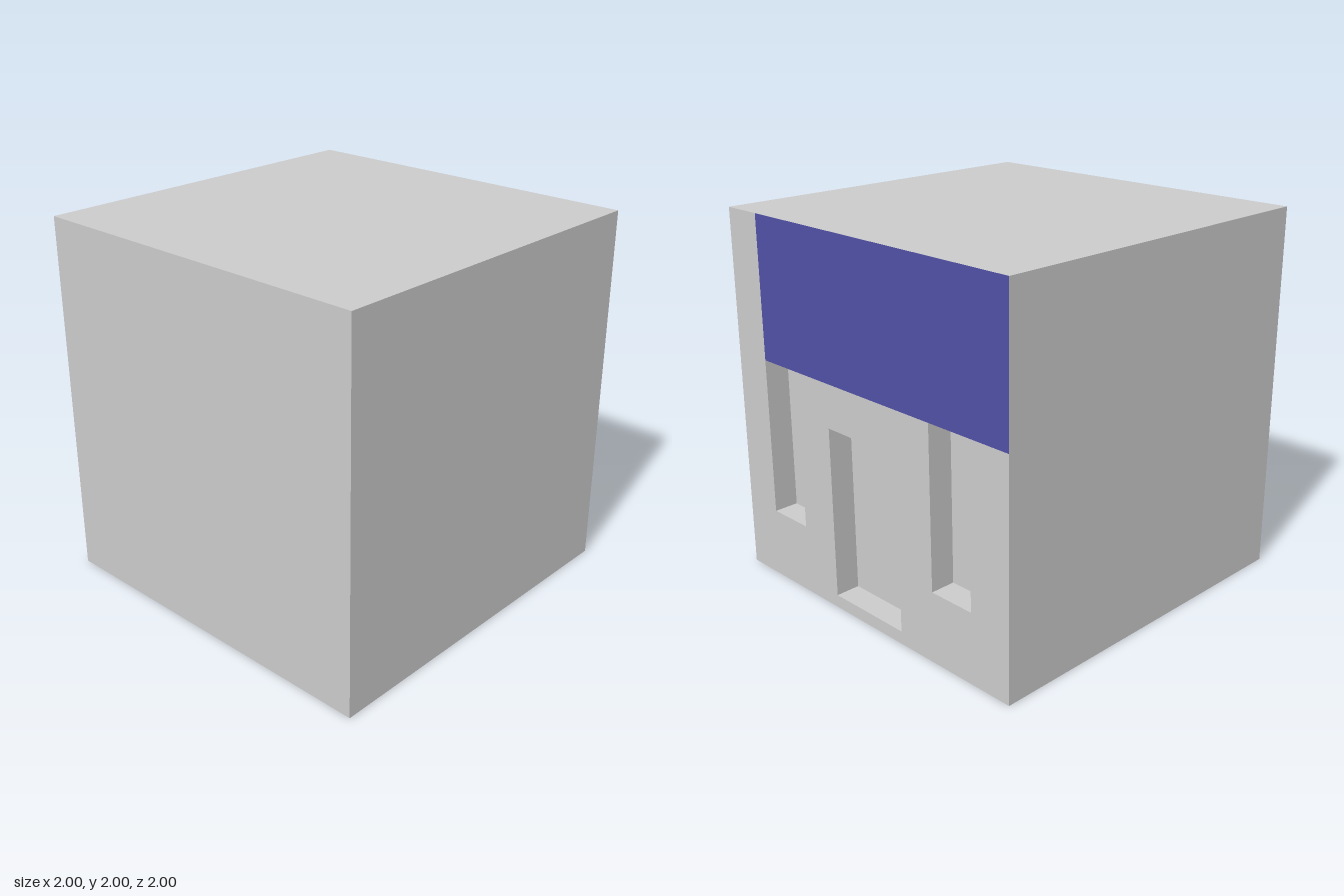
import * as THREE from 'three';

const DEPTH = 0.135; // how far the door and windows are sunk into the back
const SIGN_Y = 1.235, SILL_Y = 0.38;

// Openings in the back wall: [name, x min, x max, y min, y max]
const OPENINGS = [
  ['leftWindow', 0.5, 0.77, SILL_Y, SIGN_Y],
  ['door', -0.255, 0.255, 0.07, 1.0],
  ['rightWindow', -0.755, -0.49, SILL_Y, SIGN_Y],
];

// Box without its back (-z) side; inward turns its faces to the inside
function openBox(w, h, d, inward = false) {
  const geo = new THREE.BoxGeometry(w, h, d);
  geo.clearGroups();
  const index = Array.from(geo.index.array).slice(0, 30);
  if (inward) {
    index.reverse();
    const n = geo.attributes.normal;
    for (let i = 0; i < n.count; i++) n.setXYZ(i, -n.getX(i), -n.getY(i), -n.getZ(i));
  }
  geo.setIndex(index);
  return geo;
}

// Flat shape drawn as seen from behind (horizontal = -x), placed on z = -1
function backFace(points, hole) {
  const toVec = ([u, v]) => new THREE.Vector2(u, v);
  const shape = new THREE.Shape(points.map(toVec));
  if (hole) shape.holes.push(new THREE.Path(hole.map(toVec)));
  return new THREE.ShapeGeometry(shape).rotateY(Math.PI).translate(0, 0, -1);
}

export function createModel() {
  const group = new THREE.Group();
  const grey = new THREE.MeshStandardMaterial({ color: 0xcccccc });
  const blue = new THREE.MeshStandardMaterial({ color: 0x5151a5 });
  const add = (name, geo, mat = grey) => {
    const mesh = new THREE.Mesh(geo, mat);
    mesh.name = name;
    group.add(mesh);
  };

  // Building block, open at the back
  add('building', openBox(2, 2, 2).translate(0, 1, 0));

  // Back wall: the windows notch its upper edge, the door is a hole
  const [lw, door, rw] = OPENINGS;
  add('backWall', backFace(
    [[-1, 0], [1, 0], [1, SIGN_Y],
      [-rw[1], SIGN_Y], [-rw[1], SILL_Y], [-rw[2], SILL_Y], [-rw[2], SIGN_Y],
      [-lw[1], SIGN_Y], [-lw[1], SILL_Y], [-lw[2], SILL_Y], [-lw[2], 2], [-1, 2]],
    [[-door[2], door[3]], [-door[2], door[4]], [-door[1], door[4]], [-door[1], door[3]]],
  ));

  // Blue panel, flush with the wall
  add('bluePanel', backFace([[-lw[2], SIGN_Y], [1, SIGN_Y], [1, 2], [-lw[2], 2]]), blue);

  // Sunken door and windows
  for (const [name, x0, x1, y0, y1] of OPENINGS) {
    add(name, openBox(x1 - x0, y1 - y0, DEPTH, true)
      .translate((x0 + x1) / 2, (y0 + y1) / 2, -1 + DEPTH / 2));
  }
  return group;
}
